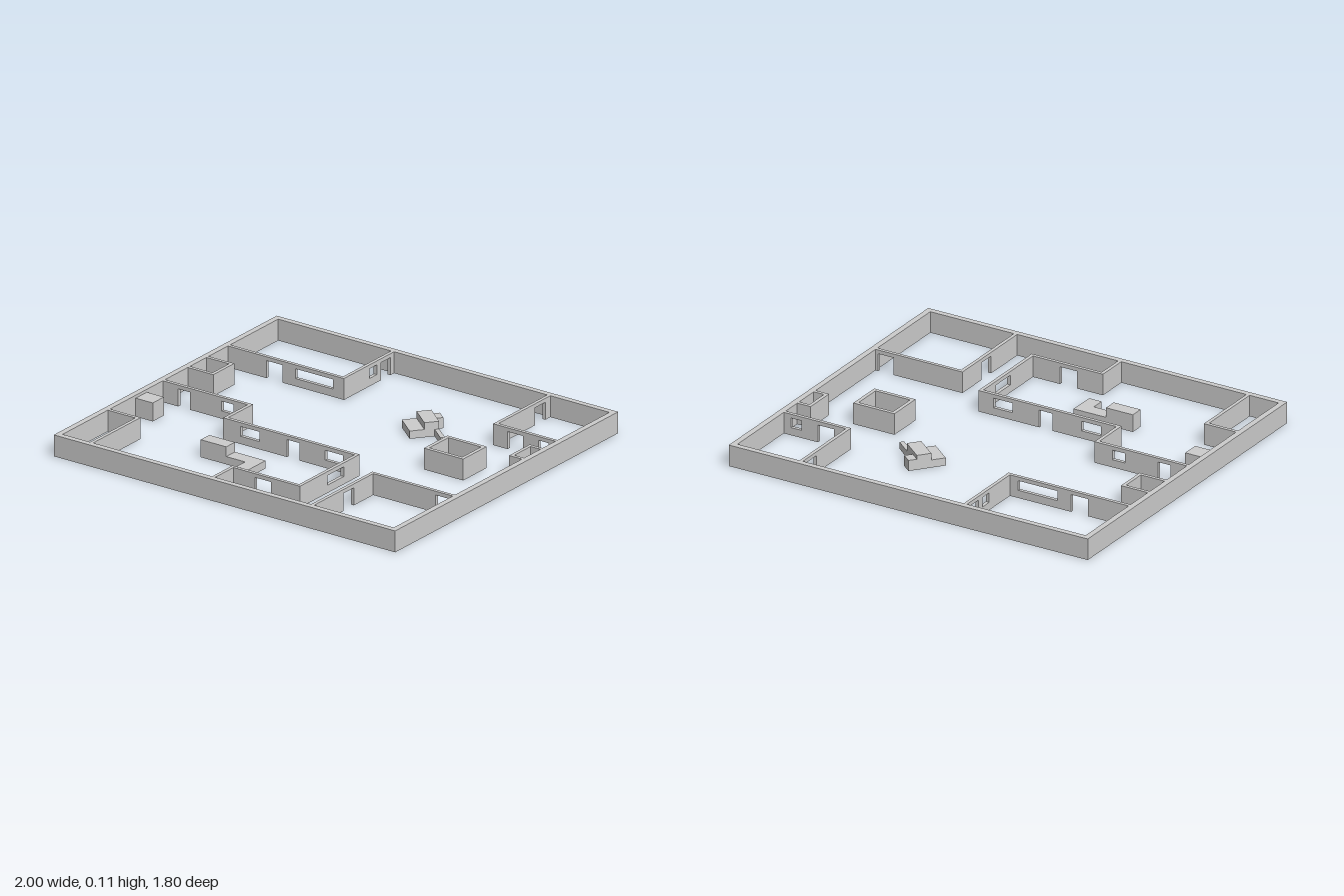
import * as THREE from 'three';

const H = 0.11; // wall height
const T = 0.018; // inner wall thickness

export function createModel() {
  const model = new THREE.Group();
  model.name = 'floorPlan';
  const plaster = new THREE.MeshStandardMaterial({ color: 0xcccccc });
  plaster.name = 'plasterGrey';

  const add = (parent, name, geometry) => {
    const mesh = new THREE.Mesh(geometry, plaster);
    mesh.name = name;
    parent.add(mesh);
    return mesh;
  };

  // Block standing on the floor, given by its plan extents
  const block = (parent, name, x0, x1, z0, z1, h) =>
    add(parent, name, new THREE.BoxGeometry(x1 - x0, h, z1 - z0))
      .position.set((x0 + x1) / 2, h / 2, (z0 + z1) / 2);

  // Openings along a wall
  const door = (s, e) => ({ s, e, isDoor: true });
  const win = (s, e) => ({ s, e, isDoor: false });

  // Straight wall from a to b along 'x' or 'z', centred on c, with openings cut out
  const wall = (parent, name, axis, a, b, c, openings = []) => {
    const sill = 0.04, head = 0.09;
    const shape = new THREE.Shape().moveTo(a, 0);
    for (const o of openings) {
      if (o.isDoor) {
        shape.lineTo(o.s, 0).lineTo(o.s, head).lineTo(o.e, head).lineTo(o.e, 0);
      } else {
        shape.holes.push(new THREE.Path().moveTo(o.s, sill).lineTo(o.s, head)
          .lineTo(o.e, head).lineTo(o.e, sill).closePath());
      }
    }
    shape.lineTo(b, 0).lineTo(b, H).lineTo(a, H).closePath();
    const geometry = new THREE.ExtrudeGeometry(shape, { depth: T, bevelEnabled: false });
    geometry.translate(0, 0, -T / 2);
    const mesh = add(parent, name, geometry);
    if (axis === 'z') {
      mesh.rotation.y = -Math.PI / 2;
      mesh.position.x = c;
    } else {
      mesh.position.z = c;
    }
  };

  // Rectangular ring of walls
  const ring = (name, x0, x1, z0, z1, t) => {
    const rect = (C, d) => new C().moveTo(x0 + d, -z1 + d).lineTo(x1 - d, -z1 + d)
      .lineTo(x1 - d, -z0 - d).lineTo(x0 + d, -z0 - d).closePath();
    const shape = rect(THREE.Shape, 0);
    shape.holes.push(rect(THREE.Path, t));
    add(model, name, new THREE.ExtrudeGeometry(shape, { depth: H, bevelEnabled: false }))
      .rotation.x = -Math.PI / 2;
  };

  const room = (name) => {
    const g = new THREE.Group();
    g.name = name;
    model.add(g);
    return g;
  };

  ring('outerWalls', -1, 1, -0.9, 0.9, 0.03);
  ring('shaft', 0.515, 0.745, -0.19, 0, 0.019);

  // Rooms against the back wall
  const backRight = room('backRightRoom');
  wall(backRight, 'frontWall', 'x', -0.97, -0.29, -0.474, [door(-0.745, -0.65), win(-0.575, -0.355)]);
  wall(backRight, 'sideWall', 'z', -0.87, -0.483, -0.3, [door(-0.84, -0.765), win(-0.73, -0.67)]);
  const backLeft = room('backLeftRoom');
  wall(backLeft, 'frontWall', 'x', 0.606, 0.97, -0.443, [door(0.69, 0.78), win(0.87, 0.93)]);
  wall(backLeft, 'sideWall', 'z', -0.87, -0.452, 0.615, [door(-0.83, -0.745)]);

  // Closets on the side walls
  const rightCloset = room('rightCloset');
  wall(rightCloset, 'backWall', 'x', -0.97, -0.82, -0.3);
  wall(rightCloset, 'frontWall', 'x', -0.97, -0.82, -0.149);
  wall(rightCloset, 'sideWall', 'z', -0.291, -0.158, -0.829);
  const leftCloset = room('leftCloset');
  wall(leftCloset, 'backWall', 'x', 0.895, 0.97, -0.322);
  wall(leftCloset, 'frontWall', 'x', 0.895, 0.97, -0.173);
  wall(leftCloset, 'sideWall', 'z', -0.313, -0.182, 0.904);

  // Stepped main room
  const main = room('mainRoom');
  wall(main, 'backWall', 'x', -0.97, -0.455, 0.052, [door(-0.88, -0.81), win(-0.625, -0.555)]);
  wall(main, 'stepWall', 'z', 0.061, 0.259, -0.464);
  wall(main, 'middleWall', 'x', -0.455, 0.314, 0.25, [win(-0.37, -0.26), door(-0.1, -0.025), win(0.125, 0.23)]);
  wall(main, 'sideWall', 'z', 0.259, 0.723, 0.305, [win(0.37, 0.5)]);
  wall(main, 'frontWall', 'x', -0.094, 0.296, 0.714, [door(0.05, 0.145)]);
  wall(main, 'entryWall', 'z', 0.723, 0.87, -0.085);

  // Front corner rooms
  const frontLeft = room('frontLeftRoom');
  wall(frontLeft, 'backWall', 'x', 0.486, 0.97, 0.385, [door(0.87, 0.955)]);
  wall(frontLeft, 'sideWall', 'z', 0.394, 0.87, 0.495, [door(0.55, 0.635)]);
  const frontRight = room('frontRightRoom');
  wall(frontRight, 'backWall', 'x', -0.97, -0.791, 0.496);
  wall(frontRight, 'sideWall', 'z', 0.505, 0.87, -0.8);

  // Loose furniture
  block(model, 'cabinet', -0.97, -0.87, 0.19, 0.28, 0.095);
  const counter = room('counter');
  block(counter, 'tallCounter', -0.43, -0.28, 0.43, 0.5, 0.09);
  block(counter, 'lowCounter', -0.28, -0.17, 0.43, 0.5, 0.04);
  block(counter, 'counterReturn', -0.17, -0.1, 0.43, 0.57, 0.04);

  // Stepped unit standing at an angle
  const unit = room('angledUnit');
  unit.position.set(0.23, 0, -0.365);
  unit.rotation.y = -0.68;
  block(unit, 'tallHalf', -0.0725, 0.0725, -0.0725, 0, 0.075);
  block(unit, 'lowHalf', -0.0725, 0.0725, 0, 0.0725, 0.04);
  block(unit, 'sideBox', -0.0725, -0.012, -0.115, -0.0725, 0.055);
  block(unit, 'arm', 0.0725, 0.177, -0.0725, -0.05, 0.035);

  return model;
}
